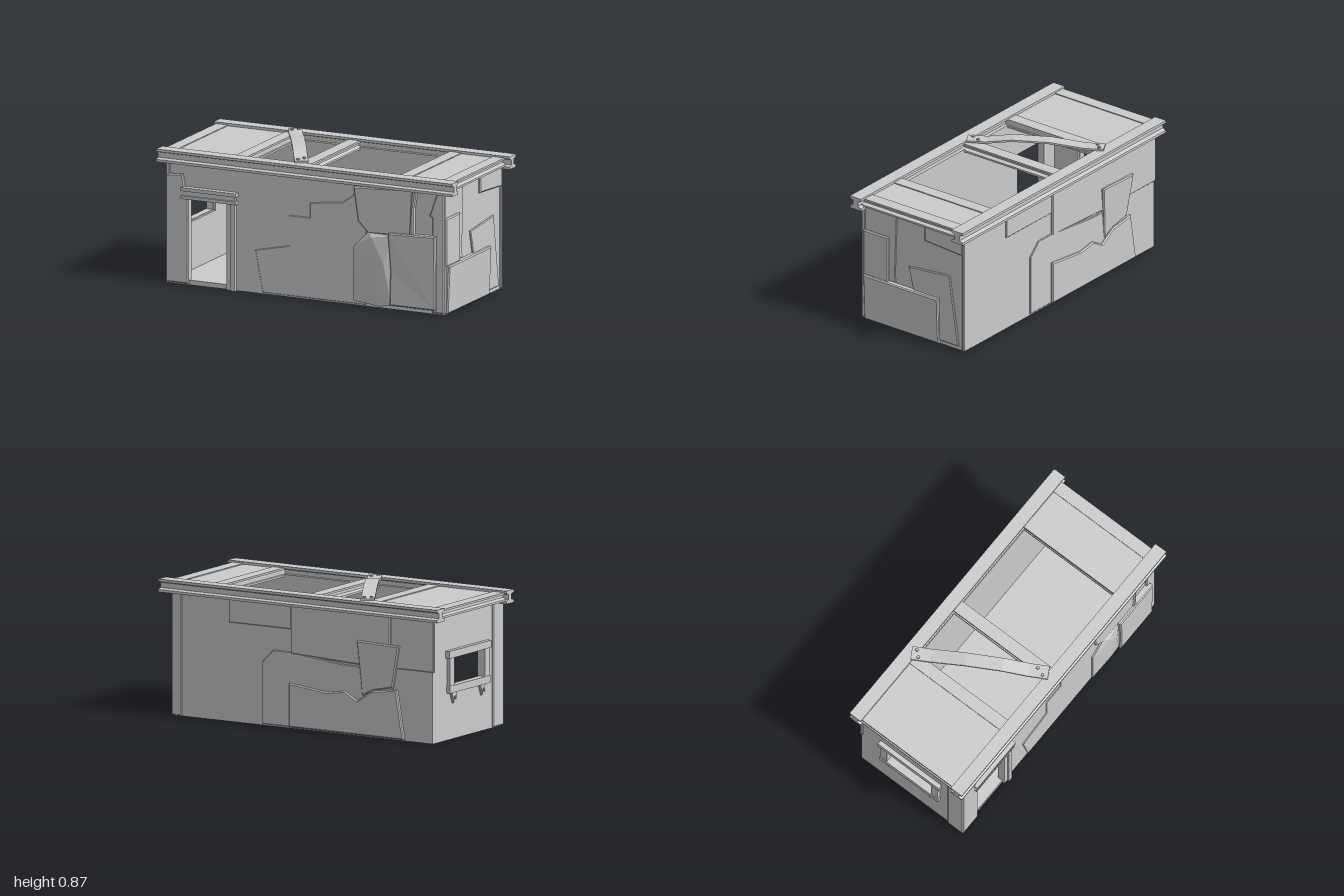
import * as THREE from 'three';
import { ConvexGeometry } from 'three/addons/geometries/ConvexGeometry.js';

const mat = new THREE.MeshStandardMaterial({ color: 0xcccccc, flatShading: true });

function add(parent, name, geo, x = 0, y = 0, z = 0) {
  const m = new THREE.Mesh(geo, mat);
  m.name = name;
  m.position.set(x, y, z);
  parent.add(m);
  return m;
}
// box given by its limits
function box(parent, name, x0, x1, y0, y1, z0, z1) {
  return add(parent, name, new THREE.BoxGeometry(x1 - x0, y1 - y0, z1 - z0),
    (x0 + x1) / 2, (y0 + y1) / 2, (z0 + z1) / 2);
}
const toShape = pts => new THREE.Shape(pts.map(p => new THREE.Vector2(...p)));
const rect = (x0, y0, x1, y1) => [[x0, y0], [x1, y0], [x1, y1], [x0, y1]];

// flat plate with a chamfered face; push(x, y) moves the outer face outward
function panel(wall, name, pts, depth, push) {
  const b = Math.min(0.007, depth * 0.5);
  const geo = new THREE.ExtrudeGeometry(toShape(pts), {
    depth: depth + 0.01 - b, bevelThickness: b, bevelSize: b, bevelOffset: -b, bevelSegments: 1,
  });
  const p = geo.attributes.position;
  for (let i = 0; i < p.count; i++) {
    if (push && p.getZ(i) > 0.001) p.setZ(i, p.getZ(i) + push(p.getX(i), p.getY(i)));
  }
  geo.computeVertexNormals();
  return add(wall, name, geo, 0, 0, -0.01);
}
// wall group: local z points outward, outer surface at local z = 0
function makeWall(root, name, angle, x, z, outline, hole) {
  const g = new THREE.Group();
  g.name = name;
  g.rotation.y = angle;
  g.position.set(x, 0, z);
  const shape = toShape(outline);
  if (hole) shape.holes.push(new THREE.Path(hole.map(p => new THREE.Vector2(...p))));
  add(g, name + 'Core', new THREE.ExtrudeGeometry(shape, { depth: 0.035, bevelEnabled: false }), 0, 0, -0.035);
  root.add(g);
  return g;
}
// beam with an I section, running along local z
function iBeam(parent, name, length, w, h, web, flange) {
  const a = w / 2, b = h / 2, c = web / 2, d = b - flange, e = d - 0.008;
  const half = [[a, -b], [a, -d], [c, -e], [c, e], [a, d], [a, b]];
  const pts = [...half, ...half.map(([x, y]) => [-x, y]).reverse()];
  const geo = new THREE.ExtrudeGeometry(toShape(pts), { depth: length, bevelEnabled: false });
  return add(parent, name, geo.translate(0, 0, -length / 2));
}

function buildFront(root) {
  const w = makeWall(root, 'frontWall', 0, 0, 0.385,
    [[-0.94, 0], [-0.8, 0], [-0.8, 0.55], [-0.53, 0.55], [-0.53, 0], [0.92, 0], [0.92, 0.78], [-0.94, 0.78]]);
  panel(w, 'leftCornerPlate', [[-0.95, 0.01], [-0.8, 0.01], [-0.8, 0.56], [-0.82, 0.6], [-0.84, 0.69], [-0.95, 0.68]], 0.017);
  panel(w, 'steppedPlate', [[-0.3, 0.01], [0.4, 0.01], [0.4, 0.74], [0.33, 0.74], [0.31, 0.68], [0.24, 0.63], [0.1, 0.615],
    [0.02, 0.6], [0.02, 0.51], [-0.12, 0.51], [-0.12, 0.32], [-0.35, 0.27]], 0.006);
  panel(w, 'upperTornPlate', [[0.42, 0.46], [0.71, 0.47], [0.72, 0.76], [0.32, 0.74], [0.34, 0.6], [0.35, 0.53]], 0.022);
  panel(w, 'narrowStrip', [[0.7, 0.48], [0.73, 0.48], [0.73, 0.65], [0.75, 0.76], [0.72, 0.76], [0.71, 0.66]], 0.03);
  panel(w, 'rightCornerPlate', [[0.85, 0.01], [0.93, 0.01], [0.93, 0.76], [0.88, 0.75], [0.83, 0.61], [0.85, 0.6]], 0.015);
  panel(w, 'thickPlate', [[0.57, 0.03], [0.88, 0.03], [0.88, 0.49], [0.56, 0.48], [0.575, 0.25]], 0.035,
    (x, y) => (y > 0.4 ? 0.006 : 0));
  // dented plate
  const rim = [[0.32, 0.03], [0.5, 0.012], [0.575, 0.03], [0.575, 0.46], [0.42, 0.47], [0.32, 0.37]];
  const pts = rim.flatMap(([x, y]) => [new THREE.Vector3(x, y, -0.01), new THREE.Vector3(x, y, 0.016)]);
  for (const [x, y, z] of [[0.45, 0.44, 0.035], [0.4, 0.33, 0.032], [0.53, 0.28, 0.035], [0.46, 0.12, 0.027]]) {
    pts.push(new THREE.Vector3(x, y, z));
  }
  add(w, 'dentedPlate', new ConvexGeometry(pts));
  // doorway trim
  box(w, 'doorJambOuter', -0.51, -0.48, 0, 0.55, -0.03, 0.025);
  box(w, 'doorJambInner', -0.54, -0.505, 0, 0.55, -0.035, 0.012);
  box(w, 'doorLintelLower', -0.84, -0.47, 0.54, 0.56, -0.02, 0.035);
  box(w, 'doorLintelWeb', -0.82, -0.48, 0.555, 0.595, -0.02, 0.022);
  box(w, 'doorLintelUpper', -0.84, -0.465, 0.59, 0.612, -0.02, 0.04);
}

function buildBack(root) {
  // horizontal coordinates here run toward -x
  const w = makeWall(root, 'backWall', Math.PI, 0, -0.385, rect(-0.92, 0, 0.94, 0.78));
  panel(w, 'upperPlate', rect(-0.52, 0.61, -0.07, 0.77), 0.008);
  panel(w, 'middlePlate', [[-0.07, 0.46], [0.64, 0.43], [0.64, 0.77], [-0.07, 0.77]], 0.012);
  panel(w, 'upperCornerPlate', [[0.64, 0.44], [0.95, 0.44], [0.95, 0.77], [0.64, 0.77]], 0.007);
  panel(w, 'lowerPlate', [[-0.28, 0.01], [0.66, 0.01], [0.66, 0.42], [0.3, 0.43], [-0.07, 0.47], [-0.2, 0.47], [-0.28, 0.39]], 0.008);
  panel(w, 'tornPlate', [[-0.08, 0.01], [0.74, 0.01], [0.69, 0.31], [0.52, 0.29], [0.41, 0.22], [0.32, 0.27], [0.2, 0.25], [-0.08, 0.28]], 0.022);
  panel(w, 'leaningPlate', [[0.44, 0.25], [0.52, 0.29], [0.66, 0.32], [0.71, 0.58], [0.41, 0.59]], 0.014,
    (x, y) => Math.max(0, y - 0.35) * 0.06);
  panel(w, 'cornerStrip', [[-0.93, 0.005], [-0.86, 0.005], [-0.86, 0.77], [-0.93, 0.77]], 0.005);
}

function buildRightEnd(root) {
  // horizontal coordinates here run toward -z
  const w = makeWall(root, 'plainEndWall', Math.PI / 2, 0.92, 0, rect(-0.385, 0, 0.385, 0.78));
  panel(w, 'lowerPlate', rect(-0.37, 0.005, 0.2, 0.305), 0.033, (x, y) => (y < 0.03 ? -0.012 : 0));
  panel(w, 'upperPlate', rect(-0.38, 0.3, -0.19, 0.6), 0.018);
  panel(w, 'skewedPlate', [[0.0, 0.29], [0.19, 0.29], [0.19, 0.025], [0.345, 0.025], [0.275, 0.48], [-0.04, 0.45]], 0.01);
  panel(w, 'topCornerPlate', [[0.085, 0.66], [0.38, 0.64], [0.38, 0.77], [0.085, 0.77]], 0.014);
  panel(w, 'splitPlate', [[-0.38, 0.3], [-0.14, 0.31], [-0.145, 0.36], [-0.13, 0.77], [-0.38, 0.77]], 0.006);
}

function buildWindowEnd(root) {
  // horizontal coordinates here run toward +z
  const w = makeWall(root, 'windowEndWall', -Math.PI / 2, -0.94, 0,
    rect(-0.385, 0, 0.385, 0.78), rect(-0.18, 0.33, 0.17, 0.51));
  panel(w, 'cornerPlate', rect(0.28, 0.005, 0.4, 0.77), 0.01);
  box(w, 'windowSill', -0.23, 0.22, 0.29, 0.335, -0.02, 0.026);
  box(w, 'windowHead', -0.24, 0.23, 0.505, 0.55, -0.02, 0.028);
  for (const x of [-0.225, 0.165]) box(w, 'windowJamb', x, x + 0.05, 0.32, 0.52, -0.02, 0.022);
  for (const x of [-0.17, 0.15]) {
    panel(w, 'sillSplinter', [[x - 0.03, 0.3], [x, 0.22], [x + 0.012, 0.26], [x + 0.03, 0.24], [x + 0.04, 0.3]], 0.015);
  }
}

function buildRoof(root) {
  const roof = new THREE.Group();
  roof.name = 'roof';
  root.add(roof);
  // long edge beams
  for (const s of [-1, 1]) {
    const b = iBeam(roof, 'longBeam', 2, 0.085, 0.08, 0.035, 0.016);
    b.rotation.y = Math.PI / 2;
    b.position.set(0, 0.795, s * 0.389);
  }
  // cross beams
  for (const x of [-0.945, -0.48, -0.05, 0.635, 0.925]) {
    iBeam(roof, 'crossBeam', 0.74, 0.08, 0.055, 0.03, 0.012).position.set(x, 0.797, 0);
  }
  // roof plates over both ends
  box(roof, 'roofPlate', -0.91, -0.445, 0.785, 0.819, -0.365, 0.365);
  box(roof, 'roofPlate', 0.6, 0.885, 0.785, 0.819, -0.365, 0.365);
  // inner ledges along the open bays
  for (const s of [-1, 1]) {
    box(roof, 'ledge', -0.44, 0.6, 0.765, 0.785, s * 0.358 - 0.012, s * 0.358 + 0.012);
  }
  // bent strap laid diagonally over the opening
  const strap = new THREE.Group();
  strap.name = 'strap';
  strap.position.set(-0.26, 0, -0.01);
  strap.rotation.y = Math.atan2(0.4, 0.71);
  roof.add(strap);
  const path = [[-0.42, 0.834], [-0.3, 0.834], [-0.09, 0.858], [0.14, 0.858], [0.3, 0.834], [0.42, 0.834]];
  const top = path.map(([z, y]) => [z, y + 0.012]).reverse();
  const geo = new THREE.ExtrudeGeometry(toShape([...path, ...top]), { depth: 0.084, bevelEnabled: false });
  geo.translate(0, 0, -0.042).rotateY(-Math.PI / 2);
  add(strap, 'strapBand', geo);
  for (const [x, z] of [[-0.022, -0.375], [0.022, -0.39], [0.02, 0.35], [-0.02, 0.385]]) {
    add(strap, 'bolt', new THREE.CylinderGeometry(0.01, 0.011, 0.012, 8), x, 0.849, z);
  }
}

export function createModel() {
  const root = new THREE.Group();
  root.name = 'shelter';
  box(root, 'floor', -0.935, 0.915, 0, 0.03, -0.38, 0.38);
  buildFront(root);
  buildBack(root);
  buildRightEnd(root);
  buildWindowEnd(root);
  buildRoof(root);
  return root;
}
